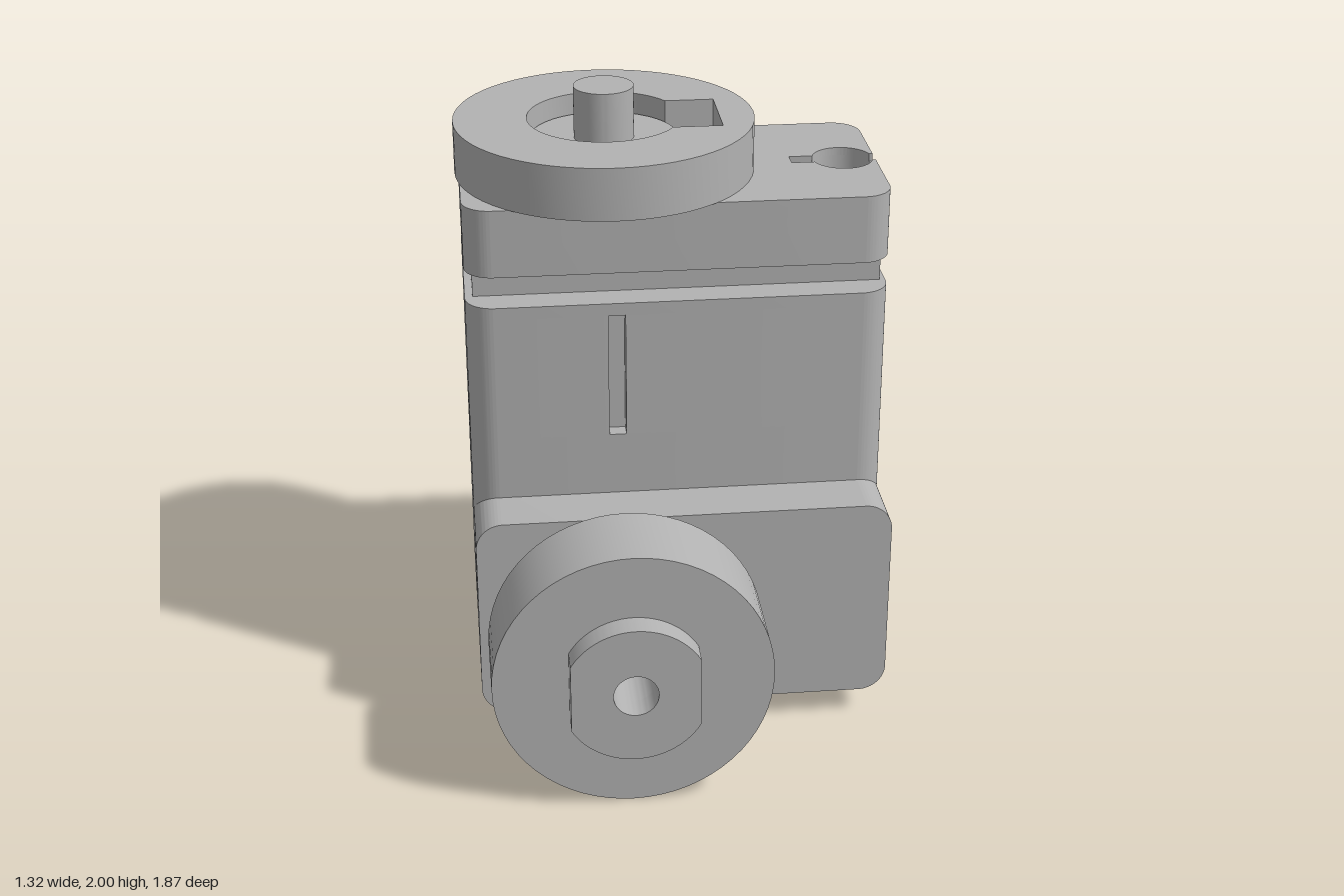
import * as THREE from 'three';
import { mergeGeometries, toCreasedNormals } from 'three/addons/utils/BufferGeometryUtils.js';

const AX = -0.2;   // x of both shafts
const AY = 0.43;   // height of the horizontal shaft
const AZ = -0.055; // z of the vertical shaft

// Rounded rectangle, radii in order bottom-left, bottom-right, top-right, top-left.
// bottom and right may add detours along those edges.
function roundRect(x0, y0, x1, y1, [a, b, c, d], bottom, right) {
  const s = new THREE.Shape();
  s.moveTo(x0 + a, y0);
  if (bottom) bottom(s);
  s.lineTo(x1 - b, y0);
  if (b) s.absarc(x1 - b, y0 + b, b, -Math.PI / 2, 0);
  if (right) right(s);
  s.lineTo(x1, y1 - c);
  if (c) s.absarc(x1 - c, y1 - c, c, 0, Math.PI / 2);
  s.lineTo(x0 + d, y1);
  if (d) s.absarc(x0 + d, y1 - d, d, Math.PI / 2, Math.PI);
  s.lineTo(x0, y0 + a);
  if (a) s.absarc(x0 + a, y0 + a, a, Math.PI, Math.PI * 1.5);
  return s;
}

function disc(x, y, r, Type = THREE.Shape) {
  const s = new Type();
  s.absarc(x, y, r, 0, Math.PI * 2, false);
  return s;
}

// Extrude between two z values
function alongZ(shape, z0, z1) {
  const g = new THREE.ExtrudeGeometry(shape, { depth: z1 - z0, bevelEnabled: false, curveSegments: 32 });
  return g.translate(0, 0, z0);
}

// Extrude between two heights; shape coordinates are (x, -z)
function alongY(shape, y0, y1) {
  return alongZ(shape, y0, y1).rotateX(-Math.PI / 2);
}

export function createModel() {
  const model = new THREE.Group();
  const grey = new THREE.MeshStandardMaterial({ color: 0xb2b2b2 });
  grey.name = 'grey';

  const add = (name, ...parts) => {
    const mesh = new THREE.Mesh(toCreasedNormals(mergeGeometries(parts), 0.5), grey);
    mesh.name = name;
    model.add(mesh);
  };
  const rodZ = (name, r, z0, z1) => add(name, alongZ(disc(AX, AY, r), z0, z1));

  // Lower housing with a window running in from both sides
  const W = 0.652, R = 0.085;
  const lower = roundRect(-W, 0.09, W, 0.77, [R, R, R, R]);
  add('lowerHousing',
    alongZ(lower, -0.35, 0.08),
    alongZ(roundRect(-W, 0.09, W, 0.31, [R, R, 0, 0]), 0.08, 0.31),
    alongZ(roundRect(-W, 0.55, W, 0.77, [0, 0, R, R]), 0.08, 0.31),
    alongZ(lower, 0.31, 0.465));
  rodZ('lowerCore', 0.235, 0.07, 0.302);

  // Upper housing with side windows and a slot in the front
  const F = -0.29, B = 0.39, C = 0.09;
  const slot = s => {
    s.lineTo(-0.22, F); s.lineTo(-0.22, F + 0.05);
    s.lineTo(-0.167, F + 0.05); s.lineTo(-0.167, F);
  };
  const full = notch => roundRect(-W, F, W, B, [C, C, C, C], notch);
  const front = notch => roundRect(-W, F, W, -0.07, [C, C, 0, 0], notch);
  const back = roundRect(-W, 0.165, W, B, [0, 0, C, C]);
  add('upperHousing',
    alongY(full(), 0.7, 0.77),
    alongY(front(), 0.77, 0.975),
    alongY(front(slot), 0.975, 1.01),
    alongY(back, 0.77, 1.01),
    alongY(full(slot), 1.01, 1.38),
    alongY(full(), 1.38, 1.42));
  add('upperCore', alongY(disc(AX, -AZ, 0.235), 0.76, 1.02));

  // Neck and cap, the cap with a stepped hole crossed by a shallow groove
  add('neck', alongY(roundRect(-0.628, -0.19, 0.635, 0.29, [0, 0, 0, 0]), 1.42, 1.52));
  const HX = 0.55, HY = -AZ, HR = 0.095, g = 0.027, t = Math.asin(g / HR);
  const keyhole = s => {
    s.lineTo(W, HY - g);
    s.absarc(HX, HY, HR, -t, -Math.PI + t, true);
    s.lineTo(0.385, HY - g);
    s.lineTo(0.385, HY + g);
    s.absarc(HX, HY, HR, Math.PI - t, t, true);
    s.lineTo(W, HY + g);
  };
  const holed = r => {
    const s = full();
    s.holes.push(disc(HX, HY, r, THREE.Path));
    return s;
  };
  add('cap',
    alongY(holed(0.05), 1.52, 1.63),
    alongY(holed(HR), 1.63, 1.71),
    alongY(roundRect(-W, F, W, B, [C, C, C, C], null, keyhole), 1.71, 1.735));

  // Top wheel with a keyed bore, its bearing and shaft
  const wheel = disc(AX, -AZ, 0.465);
  const bore = new THREE.Path();
  const k = Math.asin(0.125 / 0.238);
  bore.absarc(AX, -AZ, 0.238, k, Math.PI * 2 - k, false);
  bore.lineTo(0.155, -AZ - 0.125);
  bore.lineTo(0.155, -AZ + 0.125);
  bore.closePath();
  wheel.holes.push(bore);
  add('topWheel', alongY(wheel, 1.735, 1.9));
  add('topBearing', alongY(disc(AX, -AZ, 0.23), 1.73, 1.835));
  add('topShaft', alongY(disc(AX, -AZ, 0.093), 1.8, 2));

  // Front collar, wheel and flat-sided hub with a centre hole
  rodZ('frontCollar', 0.235, 0.46, 0.585);
  const rim = disc(AX, AY, 0.427);
  rim.holes.push(disc(AX, AY, 0.068, THREE.Path));
  add('frontWheel', alongZ(rim, 0.585, 0.857));
  const hub = new THREE.Shape();
  const h = Math.acos(0.195 / 0.225);
  hub.absarc(AX, AY, 0.225, h, Math.PI - h, false);
  hub.absarc(AX, AY, 0.225, Math.PI + h, Math.PI * 2 - h, false);
  hub.closePath();
  hub.holes.push(disc(AX, AY, 0.068, THREE.Path));
  add('frontHub', alongZ(hub, 0.857, 0.935));

  // Stepped back plates, boss and shaft
  const square = [0, 0, 0, 0];
  add('backPlate', alongZ(roundRect(-0.625, 0.197, 0.635, 0.667, square), -0.45, -0.34));
  add('backBlock', alongZ(roundRect(-0.435, 0.197, 0.45, 0.667, square), -0.6, -0.45));
  rodZ('backBoss', 0.23, -0.78, -0.6);
  rodZ('backShaft', 0.093, -0.935, -0.78);

  return model;
}
